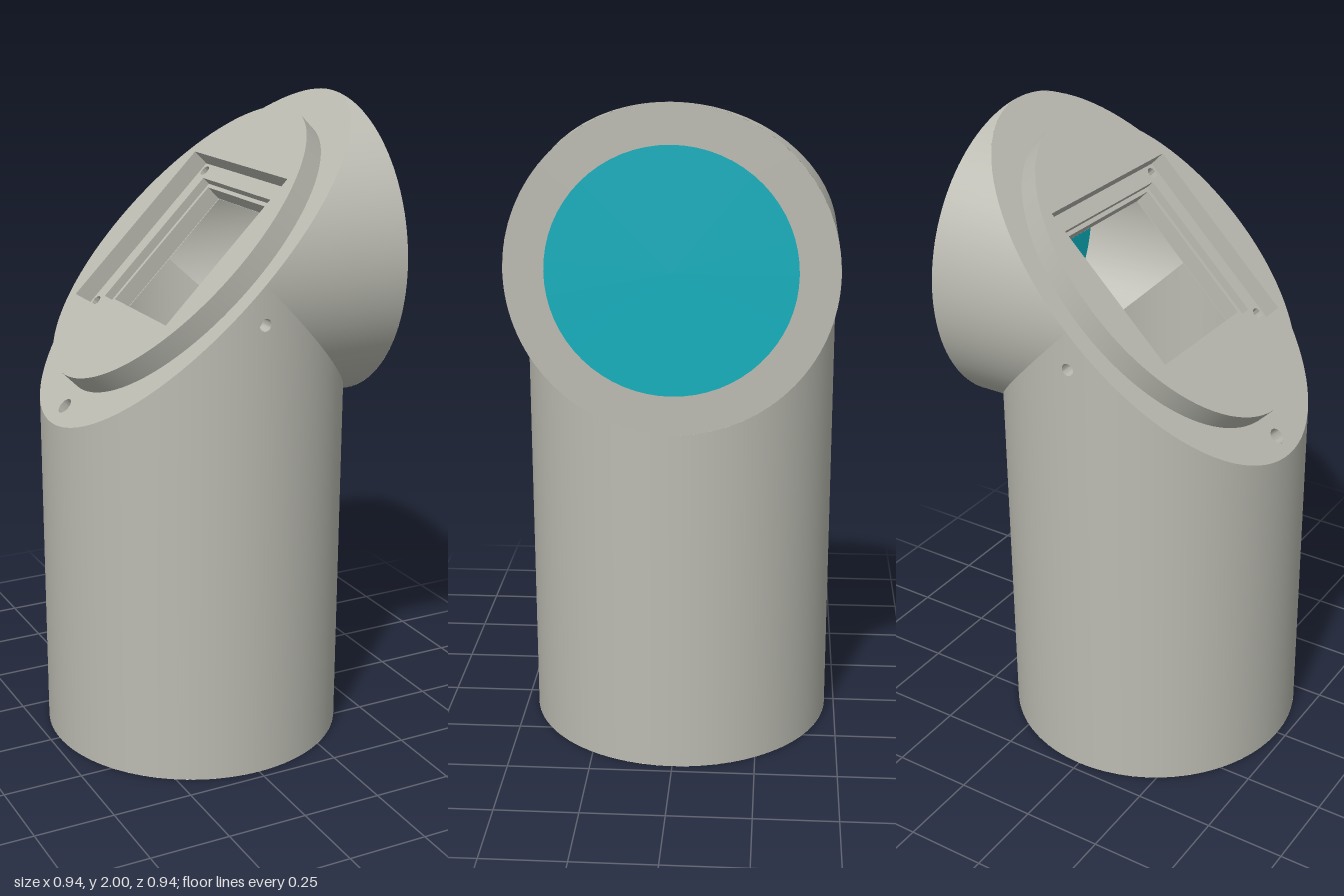
import * as THREE from 'three';
import { toCreasedNormals } from 'three/addons/utils/BufferGeometryUtils.js';

const R = 0.47;         // outer radius
const BORE = 0.355;     // inner radius
const AXIS = 1.53;      // height of the horizontal axis
const CEIL = 0.05;      // half of the ceiling's vertical offset below the mitre face
const SEG = 64;
const HOLE_Y = 1.415, HOLE_R = 0.019;

const body = new THREE.MeshStandardMaterial({ color: 0xbbbbb2, side: THREE.DoubleSide });
body.name = 'warm grey';
const glass = new THREE.MeshStandardMaterial({ color: 0x0dafbd, side: THREE.DoubleSide });
glass.name = 'teal';

function add(parent, name, geometry, material = body) {
  const mesh = new THREE.Mesh(geometry, material);
  mesh.name = name;
  parent.add(mesh);
  return mesh;
}

// Angles round a tube; half-step offset leaves a narrow strip centred on +z and -z
function angleList(extra = []) {
  const list = [0, Math.PI, 2 * Math.PI, ...extra];
  for (let i = 0; i < SEG; i++) list.push((i + 0.5) * 2 * Math.PI / SEG);
  return list.sort((a, b) => a - b);
}

// Tube wall between two cut curves, lo(s) and hi(s), where s = r sin(angle)
function tubeWall({ r, lo, hi, horizontal = false, inward = false, skipSides = false, extra }) {
  const pos = [], nor = [], idx = [];
  const angles = angleList(extra);
  const sign = inward ? -1 : 1;
  angles.forEach((a, i) => {
    const s = r * Math.sin(a), c = r * Math.cos(a);
    for (const t of [lo(s), hi(s)]) {
      if (horizontal) {
        pos.push(t, AXIS - s, c);
        nor.push(0, -sign * s / r, sign * c / r);
      } else {
        pos.push(s, t, c);
        nor.push(sign * s / r, 0, sign * c / r);
      }
    }
    if (i === 0) return;
    const besideHole = [angles[i - 1], a].some(v => Math.abs(Math.sin(v)) < 1e-6);
    if (skipSides && besideHole) return;
    const p = 2 * (i - 1), q = 2 * i;
    if (inward) idx.push(p, q + 1, q, p, p + 1, q + 1);
    else idx.push(p, q, q + 1, p, q + 1, p + 1);
  });
  const g = new THREE.BufferGeometry();
  g.setAttribute('position', new THREE.Float32BufferAttribute(pos, 3));
  g.setAttribute('normal', new THREE.Float32BufferAttribute(nor, 3));
  g.setIndex(idx);
  return g;
}

function circlePath(x, y, r) {
  return new THREE.Path().absarc(x, y, r, 0, Math.PI * 2, true);
}

function square(h, Type = THREE.Shape) {
  return new Type([[-h, -h], [h, -h], [h, h], [-h, h]].map(p => new THREE.Vector2(...p)));
}

// Narrow wall strip with a pin hole, bent onto the tube
function holeStrip() {
  const d = Math.PI / SEG, w = d * R, top = AXIS - R * Math.sin(d);
  const shape = new THREE.Shape([[-w, 0], [w, 0], [w, top], [0, AXIS], [-w, top]]
    .map(p => new THREE.Vector2(...p)));
  shape.holes.push(circlePath(0, HOLE_Y, HOLE_R));
  const g = new THREE.ShapeGeometry(shape, 8);
  const p = g.attributes.position, n = g.attributes.normal;
  for (let i = 0; i < p.count; i++) {
    const a = p.getX(i) / R;
    p.setXYZ(i, R * Math.sin(a), p.getY(i), R * Math.cos(a));
    n.setXYZ(i, Math.sin(a), 0, Math.cos(a));
  }
  return g;
}

// Outline where a tilted plane cuts both tubes of radius r
function mitreShape(r, offset) {
  const k = Math.asin(offset / r), half = [];
  for (let i = 0; i <= 48; i++) {
    const a = -Math.PI - k + (Math.PI + 2 * k) * i / 48;
    half.push(new THREE.Vector2((r * Math.sin(a) - offset) * Math.SQRT2, r * Math.cos(a)));
  }
  const mirrored = half.slice(1, -1).reverse().map(v => new THREE.Vector2(-v.x, v.y));
  return new THREE.Shape([...half, ...mirrored]);
}

// Blind round hole, open towards +z
function cup(r, depth) {
  const g = new THREE.LatheGeometry(
    [[0, -depth], [r, -depth], [r, 0]].map(p => new THREE.Vector2(...p)), 20);
  return toCreasedNormals(g.rotateX(Math.PI / 2), 0.6);
}

// Plate spanning heights from..to above the tilted face
function plate(shape, from, to) {
  const g = new THREE.ExtrudeGeometry(shape, { depth: to - from, bevelEnabled: false, curveSegments: 48 });
  return toCreasedNormals(g.translate(0, 0, from), 0.6);
}

export function createModel() {
  const model = new THREE.Group();
  model.name = 'elbowHousing';

  // Outer tubes meeting at a mitre
  add(model, 'uprightTube', tubeWall({
    r: R, lo: () => 0, hi: s => AXIS - Math.abs(s), skipSides: true }));
  add(model, 'sideTube', tubeWall({
    r: R, lo: s => Math.abs(s), hi: () => R, horizontal: true }));

  // Side pin holes, front and back
  for (const turn of [0, Math.PI]) {
    const side = new THREE.Group();
    side.name = 'sidePinHole';
    side.rotation.y = turn;
    add(side, 'holeStrip', holeStrip());
    add(side, 'pinHole', cup(HOLE_R, 0.05)).position.set(0, HOLE_Y, R - 0.0005);
    model.add(side);
  }

  // Inner bores
  const k = Math.asin(CEIL / BORE), extra = [k, Math.PI - k];
  add(model, 'uprightBore', tubeWall({
    r: BORE, lo: () => 0.115, hi: s => AXIS + Math.min(s - 2 * CEIL, -s), inward: true, extra }));
  add(model, 'sideBore', tubeWall({
    r: BORE, lo: s => Math.max(-s - 2 * CEIL + 4 * CEIL, s), hi: () => R,
    horizontal: true, inward: true, extra }));

  // Bottom countersink and its window
  const sink = new THREE.LatheGeometry(
    [[BORE, 0.115], [0.366, 0.115], [0.366, 0.1], [R, 0]].map(p => new THREE.Vector2(...p)), SEG);
  add(model, 'bottomCountersink', toCreasedNormals(sink, 0.6));
  add(model, 'bottomWindow', new THREE.CircleGeometry(BORE, SEG).rotateX(Math.PI / 2), glass)
    .position.y = 0.114;

  // Side opening rim and its window
  add(model, 'sideRim', new THREE.RingGeometry(BORE, R, SEG).rotateY(Math.PI / 2))
    .position.set(R, AXIS, 0);
  add(model, 'sideWindow', new THREE.CircleGeometry(BORE, SEG).rotateY(Math.PI / 2), glass)
    .position.set(R, AXIS, 0);

  // Tilted face: local x runs up the slope, local z is its outward normal
  const face = new THREE.Group();
  face.name = 'tiltedFace';
  const h = Math.SQRT1_2;
  face.quaternion.setFromRotationMatrix(new THREE.Matrix4().makeBasis(
    new THREE.Vector3(h, h, 0), new THREE.Vector3(0, 0, -1), new THREE.Vector3(-h, h, 0)));
  face.position.y = AXIS;
  model.add(face);

  const outer = mitreShape(R, 0);
  outer.holes.push(square(0.297, THREE.Path), circlePath(-0.6, 0, 0.025));
  add(face, 'mitreFace', new THREE.ShapeGeometry(outer, 12));
  add(face, 'locatingHole', cup(0.025, 0.05)).position.x = -0.6;

  const flange = new THREE.Shape().absellipse(0, 0, 0.53, 0.41, 0, Math.PI * 2, false);
  flange.holes.push(square(0.297, THREE.Path));
  add(face, 'flange', plate(flange, 0, 0.07));

  // Stepped square seat with four screw holes
  const seat = square(0.297);
  seat.holes.push(square(0.245, THREE.Path));
  for (const x of [-0.271, 0.271]) for (const y of [-0.271, 0.271])
    seat.holes.push(circlePath(x, y, 0.017));
  add(face, 'seatFrame', plate(seat, -0.015, 0.013));

  const inner = square(0.297);
  inner.holes.push(square(0.232, THREE.Path));
  add(face, 'openingFrame', plate(inner, -0.069, -0.015));

  const ceiling = mitreShape(BORE, CEIL);
  ceiling.holes.push(square(0.232, THREE.Path));
  add(face, 'boreCeiling', new THREE.ShapeGeometry(ceiling).translate(0, 0, -CEIL * Math.SQRT2));

  return model;
}
